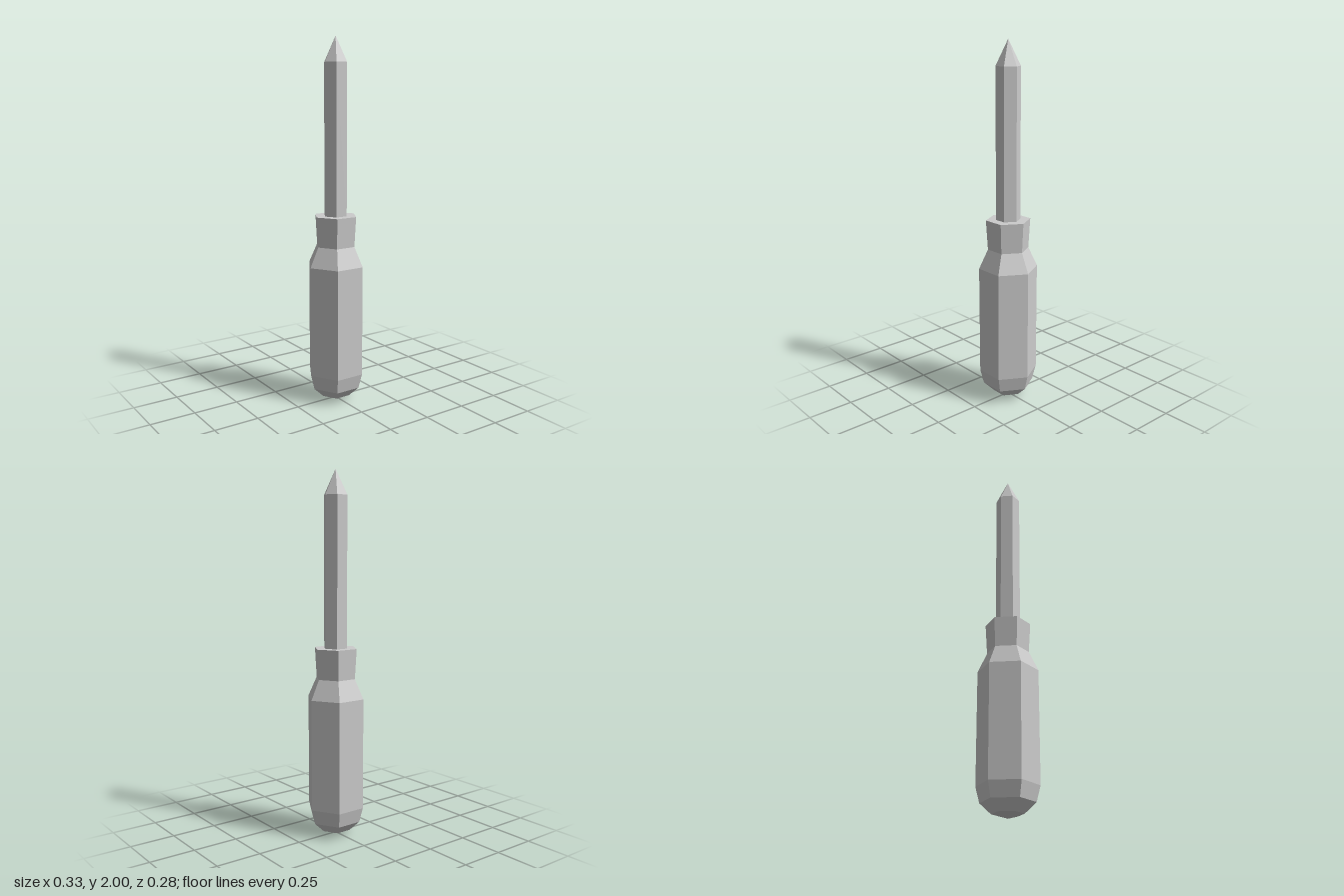
import * as THREE from 'three';

const SIDES = 6;

export function createModel() {
  const model = new THREE.Group();
  model.name = 'screwdriver';
  const material = new THREE.MeshStandardMaterial({ color: 0xcccccc, flatShading: true });

  // Six-sided turned part from [radius, height] pairs, bottom to top, with a corner on +x
  const addTurned = (name, profile) => {
    const points = profile.map(([r, y]) => new THREE.Vector2(r, y));
    const geometry = new THREE.LatheGeometry(points, SIDES, Math.PI / 2);
    const mesh = new THREE.Mesh(geometry, material);
    mesh.name = name;
    model.add(mesh);
  };

  // Handle: rounded butt, straight grip, narrow neck and flared collar
  addTurned('handle', [
    [0, 0.005], [0.083, 0.028], [0.142, 0.083], [0.163, 0.165],
    [0.163, 0.777], [0.113, 0.885], [0.123, 1.05], [0, 1.05],
  ]);

  // Shaft with its pointed tip
  addTurned('shaft', [[0.067, 1.05], [0.067, 1.865], [0, 2]]);

  return model;
}
